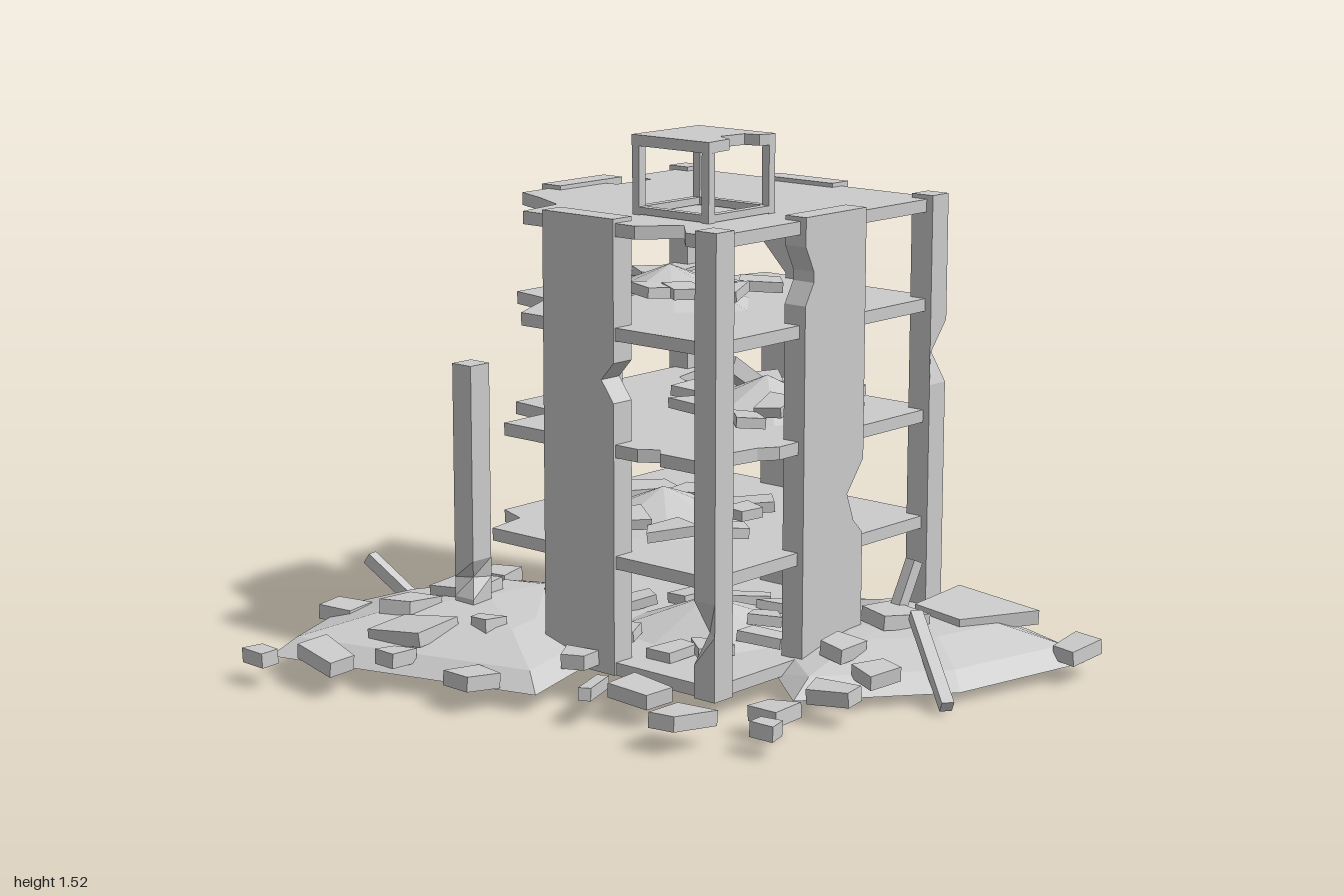
import * as THREE from 'three';

const mat = new THREE.MeshStandardMaterial({ color: 0xcccccc, flatShading: true, side: THREE.DoubleSide });

let seed = 7;
const rand = () => ((seed = (seed * 16807) % 2147483647) / 2147483647);
const jit = (a) => (rand() - 0.5) * 2 * a;

function add(parent, name, geo, x = 0, y = 0, z = 0) {
  const m = new THREE.Mesh(geo, mat);
  m.name = name;
  m.position.set(x, y, z);
  parent.add(m);
  return m;
}

function outline(pts, sign = 1) {
  return new THREE.Shape(pts.map(([a, b]) => new THREE.Vector2(a, b * sign)));
}

// Horizontal plate from an x,z outline
function plate(pts, thick) {
  return new THREE.ExtrudeGeometry(outline(pts, -1), { depth: thick, bevelEnabled: false }).rotateX(-Math.PI / 2);
}

// Vertical panel from a u,y outline
function panel(pts, thick) {
  return new THREE.ExtrudeGeometry(outline(pts), { depth: thick, bevelEnabled: false });
}

// Leaves the lowest side along an axis (1 = underside, 2 = rear) of a hollow part open
function openSide(geo, axis) {
  const flat = geo.index ? geo.toNonIndexed() : geo;
  const p = flat.attributes.position, kept = [];
  flat.computeBoundingBox();
  const limit = flat.boundingBox.min.getComponent(axis) + 0.001;
  for (let i = 0; i < p.count; i += 3) {
    const tri = [i, i + 1, i + 2];
    if (tri.every((k) => p.getComponent(k, axis) < limit)) continue;
    tri.forEach((k) => kept.push(p.getX(k), p.getY(k), p.getZ(k)));
  }
  const out = new THREE.BufferGeometry();
  out.setAttribute('position', new THREE.Float32BufferAttribute(kept, 3));
  out.computeVertexNormals();
  return out;
}

// Square column; each notch chips one corner at a height: [y, xSide, zSide]
function column(y0, y1, notches) {
  const h = y1 - y0, w = 0.073;
  const geo = new THREE.BoxGeometry(w, h, w, 1, 14, 1).translate(0, y0 + h / 2, 0);
  const p = geo.attributes.position;
  for (let i = 0; i < p.count; i++) {
    for (const [ny, sx, sz] of notches) {
      if (Math.abs(p.getY(i) - ny) < h / 28 && p.getX(i) * sx > 0 && p.getZ(i) * sz > 0) {
        p.setX(i, p.getX(i) - sx * 0.03);
        p.setZ(i, p.getZ(i) - sz * 0.03);
      }
    }
  }
  return geo;
}

// Flat broken block: a box with an irregular plan
function chunk(w, h, d) {
  const geo = new THREE.BoxGeometry(w, h, d);
  const off = Array.from({ length: 4 }, () => [jit(w * 0.17), jit(d * 0.17)]);
  const p = geo.attributes.position;
  for (let i = 0; i < p.count; i++) {
    const [x, z] = [p.getX(i), p.getZ(i)];
    const o = off[(x > 0 ? 1 : 0) + (z > 0 ? 2 : 0)];
    p.setXYZ(i, x + o[0], p.getY(i), z + o[1]);
  }
  return geo;
}

// Square beam between two points
function beam(parent, name, a, b, w = 0.035) {
  const A = new THREE.Vector3(...a), B = new THREE.Vector3(...b);
  const m = add(parent, name, new THREE.BoxGeometry(w, w, A.distanceTo(B)));
  m.position.copy(A).add(B).multiplyScalar(0.5);
  m.lookAt(B);
}

// Faceted open-bottomed heap from a base outline [x, y, z], shrinking ring by ring to a peak
function heap(base, peak, rings) {
  const n = base.length, pos = [], idx = [];
  const [cx, cy, cz] = peak;
  for (const [s, rise] of [[1, 0], ...rings]) {
    base.forEach(([x, y, z]) => pos.push(cx + (x - cx) * s, y + (cy - y) * rise, cz + (z - cz) * s));
  }
  pos.push(cx, cy, cz);
  const top = n * (rings.length + 1);
  for (let i = 0; i < n; i++) {
    const j = (i + 1) % n;
    for (let r = 0; r < rings.length; r++) {
      const a = r * n + i, b = r * n + j;
      idx.push(a, b, b + n, a, b + n, a + n);
    }
    idx.push(top - n + i, top - n + j, top);
  }
  const geo = new THREE.BufferGeometry();
  geo.setAttribute('position', new THREE.Float32BufferAttribute(pos, 3));
  geo.setIndex(idx);
  const flat = geo.toNonIndexed();
  flat.computeVertexNormals();
  return flat;
}

export function createModel() {
  const g = new THREE.Group();
  g.name = 'ruinedBuilding';

  // Floor slabs with bitten edges
  const corner = [-0.475, -0.66], right = [[0.465, -0.66], [0.465, 0.305]];
  const backBite = [[-0.4, -0.66], [-0.36, -0.5], [-0.27, -0.45], [-0.2, -0.52], [-0.16, -0.66]];
  const sideBite = [[-0.475, -0.24], [-0.39, -0.26], [-0.385, -0.4], [-0.475, -0.42]];
  const slabs = [
    [0.36, [corner, ...right, [-0.35, 0.305], [-0.375, 0.17], [-0.475, 0.13]]],
    [0.67, [corner, ...backBite, right[0], [0.465, 0.03], [0.43, 0.08], [0.41, 0.2], [0.465, 0.24], right[1],
      [0.28, 0.305], [0.25, 0.27], [0.2, 0.305], [-0.3, 0.305], [-0.3, 0.1], [-0.475, 0.08]]],
    [0.99, [corner, ...backBite, ...right, [-0.23, 0.305], [-0.33, 0.1], [-0.475, 0.07]]],
    [1.272, [corner, ...right, [0.37, 0.305], [0.28, 0.21], [0.19, 0.305], [-0.22, 0.305], [-0.24, 0.15],
      [-0.36, 0.09], [-0.475, 0.045], ...sideBite]],
  ];
  slabs.forEach(([y, pts]) => add(g, 'floorSlab', openSide(plate(pts, 0.036), 2), 0, y, 0));
  add(g, 'groundSlab', openSide(openSide(plate([corner, ...right, [-0.475, 0.305]], 0.036), 2), 1), 0, 0.06, 0);

  // Corner columns, the front one on the -x side snapped short
  add(g, 'column', column(0.06, 1.32, [[0.24, -1, 1], [0.24, -1, -1]]), 0.45, 0, 0.282);
  add(g, 'column', openSide(column(0.06, 1.32, [[0.87, 1, -1]]), 2), 0.45, 0, -0.645);
  add(g, 'column', openSide(column(0.06, 1.32, [[0.42, -1, -1]]), 2), -0.46, 0, -0.645);
  add(g, 'brokenColumn', column(0.06, 0.85, [[0.23, 1, 1]]), -0.46, 0, 0.275);

  // Wall panels with chipped edges
  const T = 0.072;
  add(g, 'frontWall', panel([[-0.14, 0.06], [0.12, 0.06], [0.12, 0.82], [0.075, 0.88],
    [0.12, 0.93], [0.12, 1.32], [-0.14, 1.32]], T), 0, 0, 0.24);
  add(g, 'backWall', openSide(panel([[-0.14, 0.06], [0.12, 0.06], [0.12, 1.32], [-0.14, 1.32], [-0.14, 1.13],
    [-0.05, 1.04], [-0.05, 0.95], [-0.14, 0.84]], T), 2), 0, 0, -0.69);
  const rightWall = add(g, 'sideWall', panel([[0.05, 0.06], [0.31, 0.06], [0.31, 0.41], [0.27, 0.45], [0.24, 0.53],
    [0.31, 0.62], [0.31, 1.32], [0.05, 1.32], [0.05, 1.24], [0.085, 1.17], [0.085, 1.14], [0.05, 1.08]], T), 0.413);
  const leftWall = add(g, 'sideWall', panel([[0.06, 0.06], [0.32, 0.06], [0.32, 0.8], [0.28, 1.1], [0.29, 1.2],
    [0.32, 1.27], [0.32, 1.32], [0.06, 1.32], [0.06, 0.6], [0.1, 0.5], [0.06, 0.42]], T), -0.498);
  rightWall.rotation.y = leftWall.rotation.y = Math.PI / 2;

  // Rooftop stair frame with a bitten lid
  const hut = new THREE.Group();
  hut.name = 'rooftopFrame';
  g.add(hut);
  add(hut, 'lid', plate([[0.04, -0.125], [0.315, -0.125], [0.315, -0.1], [0.305, -0.07], [0.26, -0.06], [0.25, 0.03],
    [0.305, 0.055], [0.315, 0.15], [0.04, 0.15]], 0.03), 0, 1.495, 0);
  for (const x of [0.054, 0.302]) {
    for (const z of [-0.112, 0.137]) add(hut, 'post', new THREE.BoxGeometry(0.025, 0.19, 0.025), x, 1.4, z);
    add(hut, 'sill', new THREE.BoxGeometry(0.025, 0.02, 0.26), x, 1.32, 0.012);
  }
  for (const z of [-0.112, 0.137]) add(hut, 'sill', new THREE.BoxGeometry(0.26, 0.02, 0.025), 0.178, 1.32, z);

  // Rubble heaps around the base, outlines anticlockwise from above
  const steps = [[0.88, 0.42], [0.5, 0.85]];
  add(g, 'rubbleHeap', heap([[-1, 0, 0.31], [-0.75, 0.05, 0.79], [0.06, 0.05, 0.56], [0, 0.06, 0.3],
    [-0.25, 0.07, 0], [-0.44, 0.07, -0.24], [-0.7, 0.05, -0.17]], [-0.45, 0.165, 0.22], steps));
  add(g, 'rubbleHeap', heap([[0.2, 0, -0.78], [0.18, 0.06, -0.65], [0.35, 0.07, -0.3], [0.43, 0.06, 0],
    [0.57, 0.03, 0.09], [0.86, 0.03, -0.27], [0.97, 0.04, -0.7], [0.74, 0.01, -0.83]], [0.55, 0.155, -0.48], steps));
  add(g, 'rubbleHeap', heap([[-0.67, 0.05, -0.57], [-0.5, 0.06, -0.42], [-0.3, 0.07, -0.5], [-0.21, 0.05, -0.74],
    [-0.31, 0.04, -0.81], [-0.55, 0.04, -0.8]], [-0.43, 0.15, -0.63], steps));

  // Loose blocks on the ground: x, z, width, depth, centre height
  const blocks = [
    [-0.69, -0.85, 0.1, 0.1, 0.08], [-0.78, -0.65, 0.13, 0.1, 0.08], [-0.5, -0.79, 0.12, 0.12, 0.09],
    [-0.61, -0.48, 0.1, 0.1, 0.09], [-0.79, -0.16, 0.1, 0.1, 0.08], [-0.83, 0.43, 0.11, 0.12, 0.09],
    [-0.7, 0.87, 0.08, 0.06, 0.08], [-0.54, 0.78, 0.18, 0.12, 0.09], [-0.44, 0.54, 0.2, 0.12, 0.13],
    [-0.36, 0.68, 0.08, 0.08, 0.1], [-0.56, 0.43, 0.1, 0.12, 0.16], [-0.12, 0.64, 0.11, 0.1, 0.08],
    [-0.28, 0.4, 0.08, 0.07, 0.15], [0.02, 0.35, 0.08, 0.08, 0.1], [0.31, 0.42, 0.12, 0.1, 0.08],
    [0.54, 0.51, 0.1, 0.14, 0.08], [0.67, 0.3, 0.1, 0.1, 0.07], [0.75, 0.42, 0.07, 0.07, 0.07],
    [0.7, 0.09, 0.12, 0.1, 0.08], [0.71, -0.09, 0.1, 0.09, 0.09], [0.56, -0.13, 0.1, 0.11, 0.13],
    [0.64, -0.59, 0.22, 0.24, 0.15], [0.53, -0.38, 0.16, 0.16, 0.16], [0.95, -0.69, 0.08, 0.13, 0.08],
    [-0.55, 0.21, 0.16, 0.14, 0.165], [-0.32, -0.68, 0.1, 0.09, 0.14],
  ];
  blocks.forEach(([x, z, w, d, y]) => {
    const m = add(g, 'looseBlock', chunk(w, 0.042, d), x, y, z);
    m.rotation.set(jit(0.1), x > 0.9 ? 0 : jit(0.3), jit(0.1));
  });

  // Fallen beams
  beam(g, 'fallenBeam', [0.66, 0.2, -0.33], [0.89, 0.02, -0.17]);
  beam(g, 'fallenBeam', [-0.92, 0.2, 0.25], [-0.78, 0.1, 0.22]);
  beam(g, 'fallenBeam', [-0.7, 0.1, -0.74], [-0.5, 0.14, -0.52]);
  beam(g, 'fallenBeam', [0.13, 0.06, 0.37], [0.24, 0.09, 0.56]);
  beam(g, 'fallenBeam', [0.51, 0.29, -0.52], [0.5, 0.14, -0.45]);
  beam(g, 'fallenBeam', [-0.17, 0.26, 0.04], [-0.33, 0.17, 0.1]);
  beam(g, 'fallenBeam', [0.27, 0.84, -0.3], [0.24, 0.71, -0.34]);
  beam(g, 'fallenBeam', [0.02, 0.83, -0.27], [-0.02, 0.72, -0.47], 0.05);

  // Debris piles inside each storey: floor height, centre x, z, radius
  [[0.09, 0.08, -0.12, 0.32], [0.396, -0.05, -0.08, 0.3], [0.706, 0.13, -0.32, 0.27], [1.026, -0.07, -0.13, 0.3]]
    .forEach(([y, cx, cz, r]) => {
      const ring = Array.from({ length: 8 }, (_, i) => {
        const a = -i * Math.PI / 4, s = r * (0.85 + jit(0.12));
        return [cx + Math.cos(a) * s, y, cz + Math.sin(a) * s];
      });
      add(g, 'debrisPile', heap(ring, [cx, y + 0.1, cz], [[0.6, 0.4]]));
      for (let i = 0; i < 10; i++) {
        const a = i * 0.63 + jit(0.2), s = r * (0.5 + rand() * 0.45);
        const m = add(g, 'debrisBlock', chunk(0.08 + rand() * 0.06, 0.03, 0.07 + rand() * 0.05),
          THREE.MathUtils.clamp(cx + Math.cos(a) * s, -0.34, 0.34), y + 0.02 + (1 - s / r) * 0.06,
          THREE.MathUtils.clamp(cz + Math.sin(a) * s, -0.54, 0.16));
        m.rotation.set(jit(0.12), jit(1.5), jit(0.12));
      }
    });
  return g;
}
